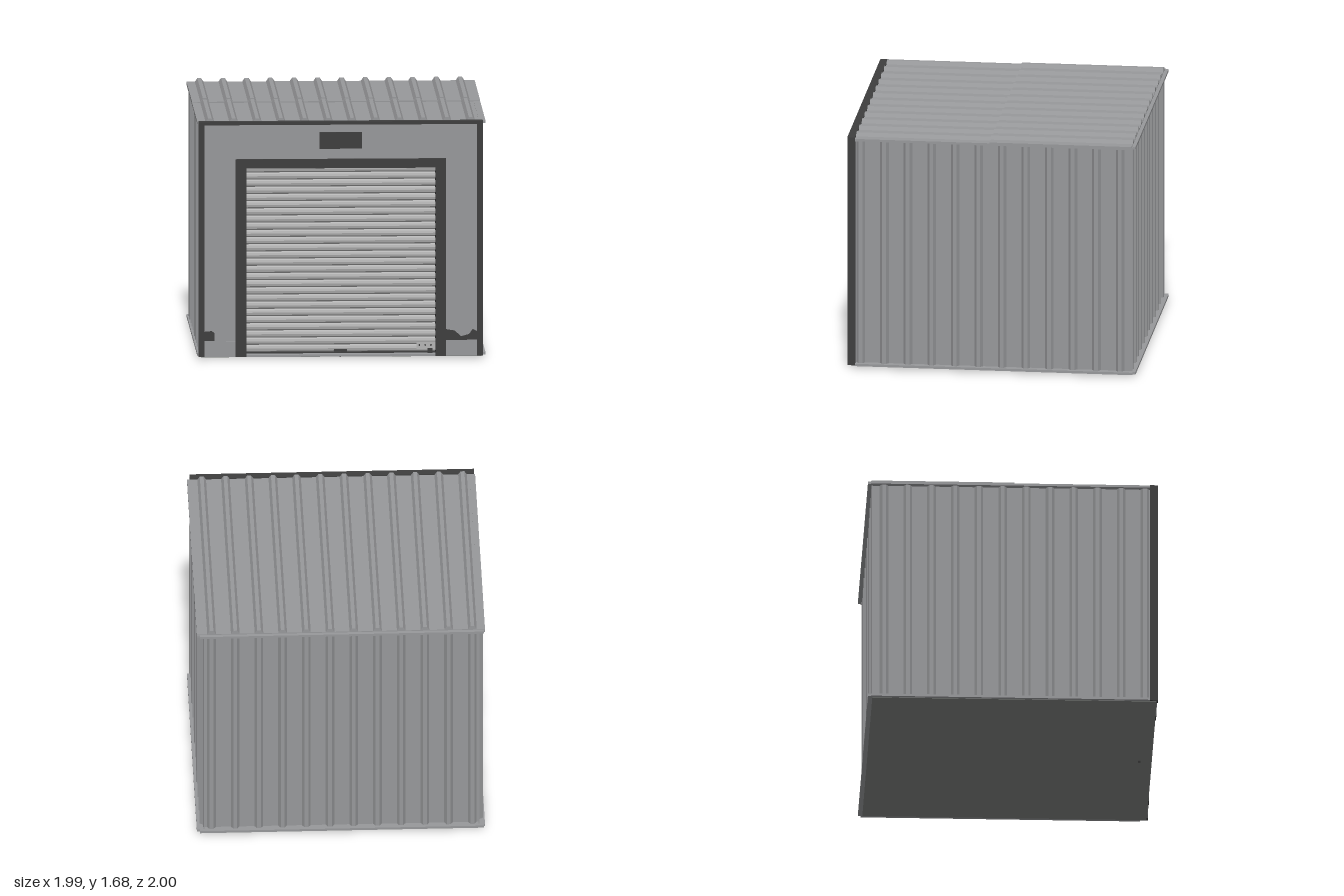
import * as THREE from 'three';

const mat = (name, color) => {
  const m = new THREE.MeshStandardMaterial({ color });
  m.name = name;
  return m;
};

export function createModel() {
  const group = new THREE.Group();
  const wallGrey = mat('wallGrey', 0x97989a);
  const darkTrim = mat('darkTrim', 0x3e3e3e);
  const doorGrey = mat('doorGrey', 0xb4b4b4);
  const floorGrey = mat('floorGrey', 0x7b7e7b);

  const add = (name, geometry, material) => {
    const mesh = new THREE.Mesh(geometry, material);
    mesh.name = name;
    group.add(mesh);
    return mesh;
  };

  // Box given by its limits on each axis
  const box = (name, material, x0, x1, y0, y1, z0, z1) => {
    const g = new THREE.BoxGeometry(x1 - x0, y1 - y0, z1 - z0);
    g.translate((x0 + x1) / 2, (y0 + y1) / 2, (z0 + z1) / 2);
    return add(name, g, material);
  };

  const extrude = (points, depth) => new THREE.ExtrudeGeometry(
    new THREE.Shape(points.map(([x, y]) => new THREE.Vector2(x, y))),
    { depth, bevelEnabled: false });

  // Sheet with trapezoid ribs: profile in x and y, drawn out along z
  const ribbedSheet = (u0, u1, firstRib, length) => {
    const pts = [[u0, -0.008], [u1, -0.008], [u1, 0]];
    for (let i = 11; i >= 0; i--) {
      const c = firstRib + i * 0.1635;
      pts.push([c + 0.03, 0], [c + 0.013, 0.025], [c - 0.013, 0.025], [c - 0.03, 0]);
    }
    pts.push([u0, 0]);
    return extrude(pts, length);
  };

  // Roof: two lapped sheets
  add('roofFront', ribbedSheet(-0.997, 0.99, -0.91, 0.945).translate(0, 1.643, 0), wallGrey);
  add('roofBack', ribbedSheet(-0.997, 0.99, -0.91, 0.985).translate(0, 1.651, -0.975), wallGrey);

  // Ribbed walls, stood upright and turned outward
  const y0 = 0.015, wallHeight = 1.625;
  const upright = (u0, u1, first) =>
    ribbedSheet(u0, u1, first, wallHeight).rotateX(-Math.PI / 2);
  add('wallBack', upright(-0.96, 0.945, -0.91).translate(0, y0, -0.95), wallGrey);
  add('wallLeft', upright(-0.975, 0.945, -0.89).rotateY(-Math.PI / 2).translate(0.945, y0, 0), wallGrey);
  add('wallRight', upright(-0.945, 0.975, -0.91).rotateY(Math.PI / 2).translate(-0.96, y0, 0), wallGrey);

  // Edge rails at the top and bottom of the three ribbed walls
  for (const [label, lo, hi] of [['bottom', 0.015, 0.032], ['top', 1.628, 1.645]]) {
    box(label + 'RailLeft', wallGrey, 0.945, 0.99, lo, hi, -0.98, 0.945);
    box(label + 'RailRight', wallGrey, -0.997, -0.96, lo, hi, -0.98, 0.945);
    box(label + 'RailBack', wallGrey, -0.99, 0.97, lo, hi, -1, -0.95);
  }

  // Floor slab and threshold
  box('floor', floorGrey, -0.975, 0.96, 0.012, 0.025, -0.97, 0.99);
  box('threshold', wallGrey, -0.66, 0.645, 0.013, 0.027, 0.9, 0.992);

  // Front wall around the doorway
  add('frontWall', extrude([
    [-0.98, 0.015], [-0.735, 0.015], [-0.735, 1.39], [0.715, 1.39],
    [0.715, 0.015], [0.96, 0.015], [0.96, 1.635], [-0.98, 1.635],
  ], 0.045).translate(0, 0, 0.945), wallGrey);

  // Dark corner posts and top beam
  box('cornerPostRight', darkTrim, -0.99, -0.95, 0.015, 1.645, 0.945, 1);
  box('cornerPostLeft', darkTrim, 0.93, 0.97, 0.015, 1.645, 0.945, 1);
  box('topBeam', darkTrim, -0.99, 0.97, 1.628, 1.65, 0.945, 1);

  // Deep door surround
  box('doorJambRight', darkTrim, -0.735, -0.66, 0.015, 1.39, 0.89, 0.997);
  box('doorJambLeft', darkTrim, 0.645, 0.715, 0.015, 1.39, 0.89, 0.997);
  box('doorHead', darkTrim, -0.66, 0.645, 1.325, 1.39, 0.89, 0.997);

  // Plain plate over the door
  box('signPlate', darkTrim, -0.155, 0.135, 1.46, 1.575, 0.988, 0.996);

  // Skirting plates and worn patches beside the door
  box('skirtingRight', wallGrey, -0.95, -0.735, 0.015, 0.12, 0.988, 0.995);
  box('skirtingLeft', wallGrey, 0.715, 0.93, 0.015, 0.12, 0.988, 0.995);
  add('wornPatchLeft', extrude([
    [0.715, 0.125], [0.93, 0.125], [0.93, 0.185], [0.9, 0.2], [0.875, 0.165],
    [0.82, 0.15], [0.775, 0.19], [0.715, 0.2],
  ], 0.003).translate(0, 0, 0.989), darkTrim);
  add('wornPatchRight', extrude([
    [-0.95, 0.125], [-0.88, 0.125], [-0.88, 0.18], [-0.9, 0.195], [-0.95, 0.19],
  ], 0.003).translate(0, 0, 0.989), darkTrim);

  // Roller door: curved slats with a groove between each
  const slats = 26, bottom = 0.035, pitch = (1.335 - bottom) / slats;
  const profile = [[-0.02, bottom]];
  for (let i = 0; i < slats; i++) {
    for (const [t, d] of [[0, 0], [0.18, 0.01], [0.5, 0.014], [0.82, 0.01]]) {
      profile.push([d, bottom + (i + t) * pitch]);
    }
  }
  profile.push([0, 1.335], [-0.02, 1.335]);
  add('rollerDoor', extrude(profile, 1.305).rotateY(-Math.PI / 2).translate(0.645, 0, 0.9), doorGrey);
  box('doorBottomBar', darkTrim, -0.66, 0.645, 0.018, 0.036, 0.885, 0.92);

  // Door handle, floor pin and lock
  box('doorHandle', darkTrim, -0.055, 0.035, 0.04, 0.054, 0.9, 0.93);
  box('floorPin', darkTrim, -0.017, -0.005, 0, 0.025, 0.895, 0.912);
  box('lockPlate', doorGrey, 0.515, 0.645, 0.052, 0.1, 0.91, 0.918);
  box('padlock', darkTrim, 0.592, 0.625, 0.022, 0.06, 0.915, 0.935);
  for (const x of [0.535, 0.575, 0.615]) {
    const bolt = new THREE.CylinderGeometry(0.006, 0.006, 0.006, 10).rotateX(Math.PI / 2);
    add('lockBolt', bolt.translate(x, 0.08, 0.919), darkTrim);
  }

  return group;
}
